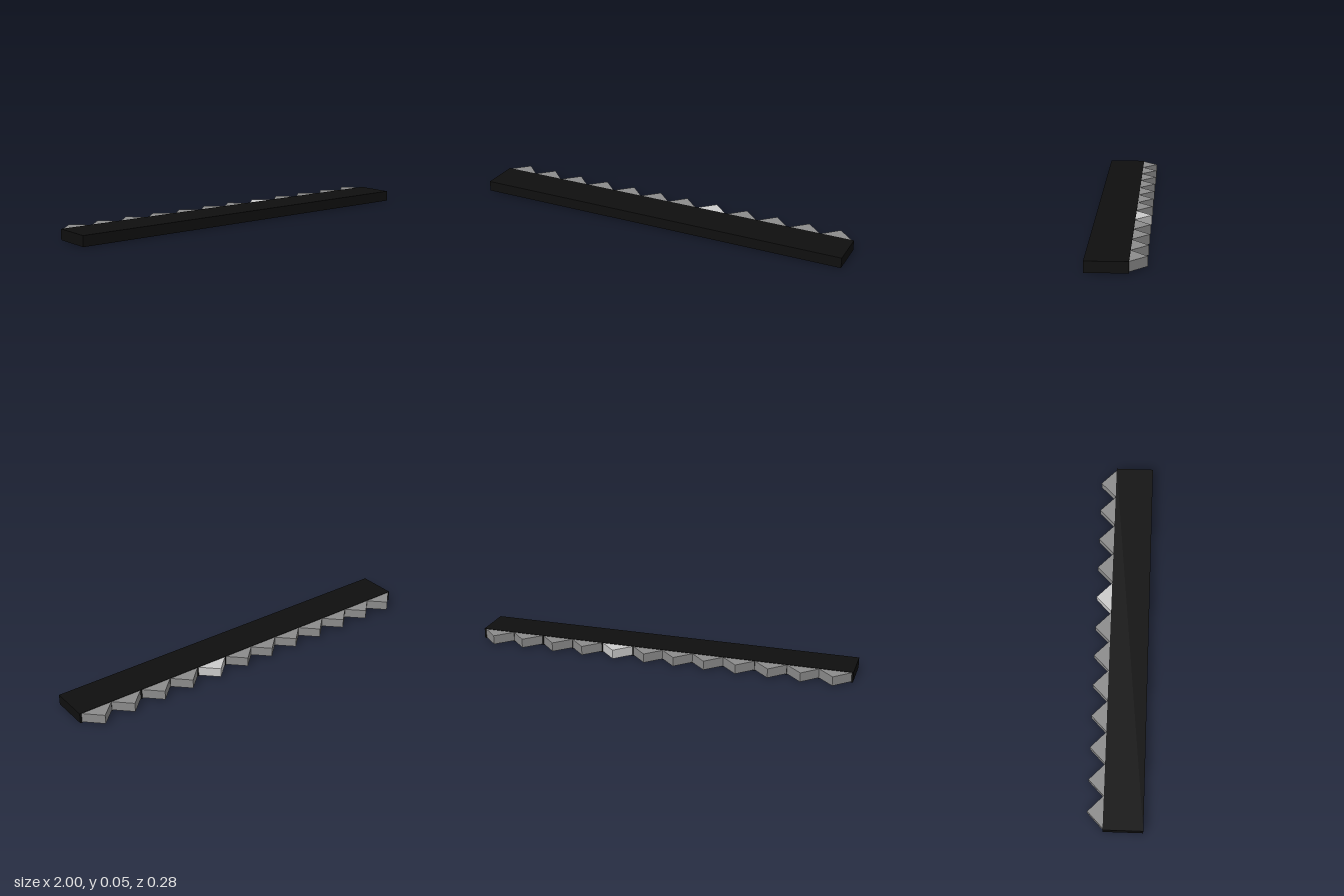
import * as THREE from 'three';

export function createModel() {
  const model = new THREE.Group();
  const paint = (color) => new THREE.MeshStandardMaterial({ color, flatShading: true });
  const barMaterial = paint(0x0f0f0f);
  const toothMaterial = paint(0x8c8c8c);
  const paleMaterial = paint(0xcccccc);

  // Long flat bar
  const bar = new THREE.Mesh(new THREE.BoxGeometry(2, 0.054, 0.2), barMaterial);
  bar.name = 'bar';
  bar.position.set(0, 0.027, 0.04);
  model.add(bar);

  // Triangular tooth, pointing backwards from the bar
  const profile = new THREE.Shape([
    new THREE.Vector2(-0.082, 0),
    new THREE.Vector2(0.082, 0),
    new THREE.Vector2(0, 0.08),
  ]);
  const toothGeometry = new THREE.ExtrudeGeometry(profile, { depth: 0.048, bevelEnabled: false });
  toothGeometry.rotateX(-Math.PI / 2);

  // Slightly uneven row of teeth, one of them paler
  const centres = [-0.91, -0.75, -0.585, -0.42, -0.255, -0.094, 0.063, 0.233, 0.404, 0.57, 0.743, 0.908];
  const teeth = new THREE.Group();
  teeth.name = 'teeth';
  centres.forEach((x, i) => {
    const pale = i === 7;
    const tooth = new THREE.Mesh(toothGeometry, pale ? paleMaterial : toothMaterial);
    tooth.name = pale ? 'paleTooth' : 'tooth';
    tooth.position.set(x, 0.004, -0.06);
    teeth.add(tooth);
  });
  model.add(teeth);

  return model;
}
